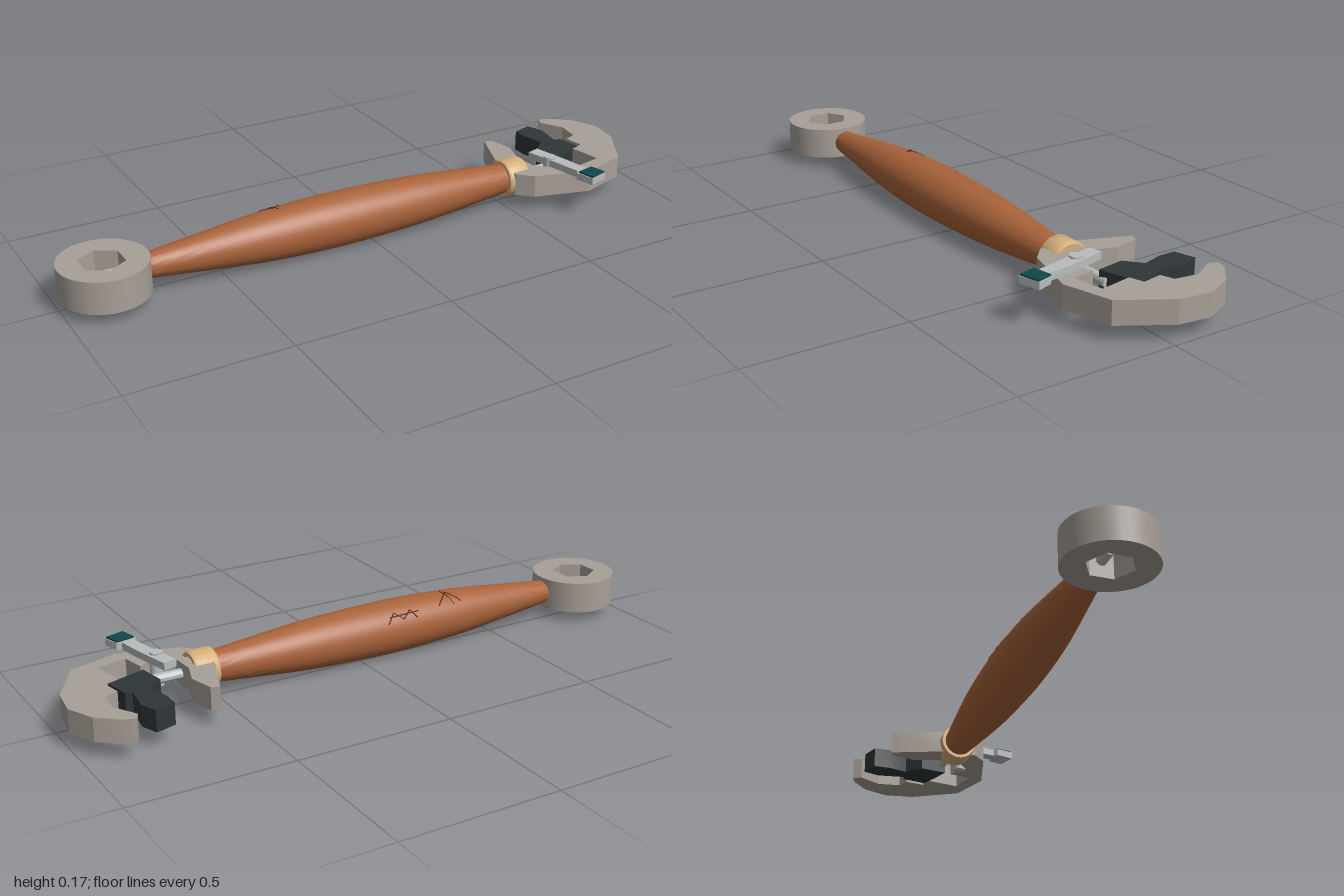
import * as THREE from 'three';
import { toCreasedNormals } from 'three/addons/utils/BufferGeometryUtils.js';

const AXIS_Y = 0.087, AXIS_Z = 0.018; // centre line of handle and rod

const material = (name, color) => {
  const m = new THREE.MeshStandardMaterial({ color });
  m.name = name;
  return m;
};

// Upright plate from an outline in x and z, between two heights
function plate(outline, bottom, top, hole) {
  const shape = outline instanceof THREE.Shape
    ? outline
    : new THREE.Shape(outline.map(([x, z]) => new THREE.Vector2(x, z)));
  if (hole) shape.holes.push(hole);
  const g = new THREE.ExtrudeGeometry(shape, { depth: top - bottom, bevelEnabled: false, curveSegments: 40 });
  g.rotateX(Math.PI / 2).translate(0, top, 0);
  return toCreasedNormals(g, 0.4);
}

// Profile of [x, radius] turned around the long axis
function turned(profile) {
  const g = new THREE.LatheGeometry(profile.map(([x, r]) => new THREE.Vector2(r, x)), 40);
  g.rotateZ(-Math.PI / 2).translate(0, AXIS_Y, AXIS_Z);
  return toCreasedNormals(g, 0.6);
}

export function createModel() {
  const group = new THREE.Group();
  const steel = material('warm steel', 0xa8a097);
  const wood = material('wood', 0xa9633a);
  const brass = material('pale brass', 0xd6b07a);
  const silver = material('silver', 0xb9bcbd);
  const black = material('black iron', 0x2f3637);
  const teal = material('teal', 0x0f474c);
  const groove = material('dark grain', 0x4a2818);
  const add = (name, geometry, mat) => {
    const mesh = new THREE.Mesh(geometry, mat);
    mesh.name = name;
    group.add(mesh);
    return mesh;
  };

  // Ring end with a six-sided socket
  const ring = new THREE.Shape().absarc(-0.865, AXIS_Z, 0.135, 0, Math.PI * 2);
  const socket = new THREE.Path();
  for (let i = 0; i < 6; i++) {
    const a = Math.PI / 6 + i * Math.PI / 3;
    const p = [-0.868 + 0.07 * Math.cos(a), AXIS_Z + 0.07 * Math.sin(a)];
    i ? socket.lineTo(...p) : socket.moveTo(...p);
  }
  socket.closePath();
  add('ringEnd', plate(ring, 0.036, 0.138, socket), steel);

  // Swollen wooden handle
  const curve = new THREE.SplineCurve([
    [-0.735, 0.038], [-0.6, 0.053], [-0.4, 0.074], [-0.25, 0.083], [-0.1, 0.086],
    [0.05, 0.083], [0.2, 0.076], [0.38, 0.06], [0.53, 0.045],
  ].map(([x, r]) => new THREE.Vector2(x, r)));
  const side = curve.getPoints(40).map((p) => [p.x, p.y]);
  add('handle', turned([[-0.76, 0], [-0.755, 0.03], ...side, [0.53, 0]]), wood);

  // Short scratches lying on the back of the handle: [x, angle] to [x, angle]
  const radiusAt = (x) => {
    const i = Math.max(1, side.findIndex((p) => p[0] >= x));
    const [a, b] = [side[i - 1], side[i]];
    return a[1] + (b[1] - a[1]) * (x - a[0]) / (b[0] - a[0]);
  };
  const scratches = [
    [-0.36, 0.75, -0.32, 0.1], [-0.33, 0.85, -0.31, 0.0], [-0.27, 0.8, -0.32, 0.2],
    [-0.18, 1.05, -0.16, 0.7], [-0.16, 0.7, -0.13, 1.0], [-0.13, 1.0, -0.1, 0.7],
    [-0.1, 0.7, -0.07, 1.1], [-0.19, 0.8, -0.08, 0.85],
  ];
  for (const [x0, a0, x1, a1] of scratches) {
    const pts = [0, 0.25, 0.5, 0.75, 1].map((t) => {
      const x = x0 + (x1 - x0) * t, a = a0 + (a1 - a0) * t, r = radiusAt(x);
      return new THREE.Vector3(x, AXIS_Y + r * Math.cos(a), AXIS_Z - r * Math.sin(a));
    });
    add('grainScratch', new THREE.TubeGeometry(new THREE.CatmullRomCurve3(pts), 10, 0.002, 5), groove);
  }

  // Collar between handle and head
  add('collar', turned([
    [0.5, 0.044], [0.5, 0.058], [0.506, 0.062], [0.568, 0.062], [0.576, 0.057], [0.576, 0.045], [0.5, 0.044],
  ]), brass);

  // Rod along the whole tool
  add('rod', turned([[-0.868, 0], [-0.868, 0.016], [0.74, 0.016], [0.74, 0]]), silver);

  // Hooked head with a slot for the slider
  add('hookedHead', plate([
    [0.58, -0.2], [0.605, -0.19], [0.625, -0.11], [0.6, -0.035], [0.605, 0.05], [0.65, 0.09],
    [0.715, 0.05], [0.73, 0.125], [0.825, 0.105], [0.805, 0.0], [0.85, -0.015], [0.838, -0.08],
    [0.88, -0.095], [0.89, -0.17], [0.847, -0.245], [0.862, -0.272], [0.9, -0.257], [0.96, -0.205],
    [0.998, -0.12], [0.985, -0.02], [0.895, 0.13], [0.745, 0.175], [0.56, 0.125], [0.515, 0.08], [0.515, -0.03],
  ], 0.05, 0.123), steel);

  // Sliding jaw
  add('slidingJaw', plate([
    [0.73, -0.225], [0.795, -0.245], [0.815, -0.19], [0.802, -0.1], [0.822, -0.095],
    [0.84, -0.01], [0.715, 0.03], [0.7, -0.06], [0.75, -0.105], [0.73, -0.17],
  ], 0.053, 0.12), black);

  // Lever with its pivot pin and end pad
  add('lever', plate([
    [0.625, -0.005], [0.668, -0.016], [0.698, 0.115], [0.711, 0.195], [0.727, 0.2],
    [0.743, 0.25], [0.677, 0.27], [0.66, 0.21], [0.672, 0.2], [0.655, 0.12],
  ], 0.123, 0.146), silver);
  add('leverPad', plate([
    [0.666, 0.212], [0.725, 0.2], [0.739, 0.25], [0.679, 0.267],
  ], 0.146, 0.151), teal);
  const pin = new THREE.CylinderGeometry(0.02, 0.02, 0.106, 20);
  add('pivotPin', pin, silver).position.set(0.658, 0.099, 0.066);

  return group;
}
